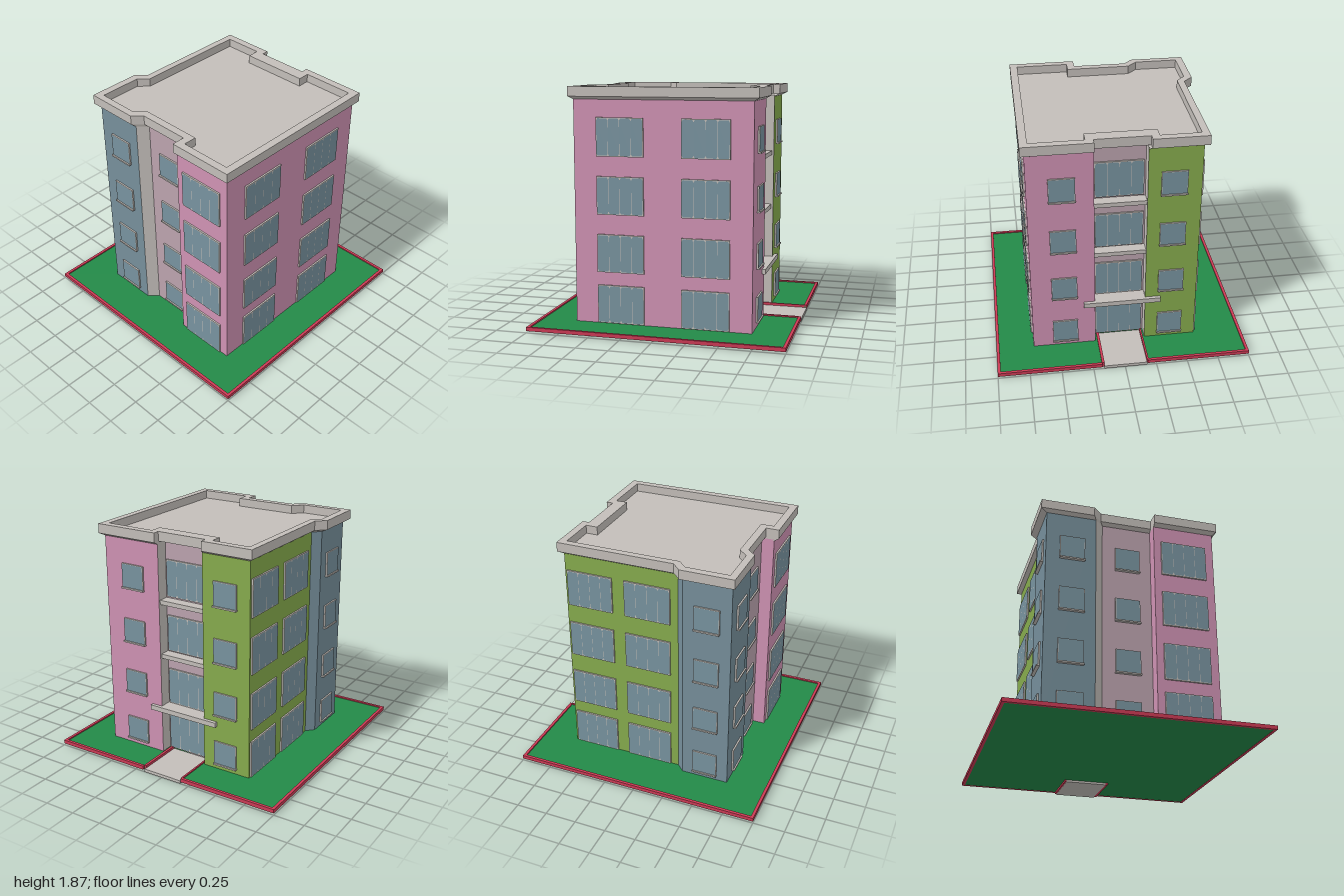
import * as THREE from 'three';

const mat = (name, color, side = THREE.FrontSide) => {
  const m = new THREE.MeshStandardMaterial({ color, side });
  m.name = name;
  return m;
};

export function createModel() {
  const model = new THREE.Group();
  model.name = 'apartmentBlock';
  const stone = mat('stone grey', 0xc3beb9);
  const pink = mat('pink render', 0xcf92b3);
  const mauve = mat('mauve render', 0xbba3ae);
  const blue = mat('blue grey render', 0x768f9b);
  const lime = mat('lime render', 0x86ab4d);
  const glass = mat('window glass', 0x78939f);
  const grass = mat('lawn green', 0x238a48);
  const red = mat('kerb red', 0xcc3a55);

  const add = (parent, name, geometry, material) => {
    const mesh = new THREE.Mesh(geometry, material);
    mesh.name = name;
    parent.add(mesh);
    return mesh;
  };
  // Box given by its lower and upper corners
  const block = (parent, name, material, [x0, y0, z0], [x1, y1, z1]) =>
    add(parent, name, new THREE.BoxGeometry(x1 - x0, y1 - y0, z1 - z0), material)
      .position.set((x0 + x1) / 2, (y0 + y1) / 2, (z0 + z1) / 2);
  // Strip of flat quads joining outlines at given heights
  const bands = (levels, closed) => {
    const pos = [];
    for (let l = 0; l < levels.length - 1; l++) {
      const [lo, y0] = levels[l], [hi, y1] = levels[l + 1];
      for (let i = 0; i < lo.length - (closed ? 0 : 1); i++) {
        const j = (i + 1) % lo.length;
        const a = [lo[i][0], y0, lo[i][1]], b = [lo[j][0], y0, lo[j][1]];
        const c = [hi[i][0], y1, hi[i][1]], d = [hi[j][0], y1, hi[j][1]];
        pos.push(...b, ...a, ...c, ...b, ...c, ...d);
      }
    }
    const g = new THREE.BufferGeometry();
    g.setAttribute('position', new THREE.Float32BufferAttribute(pos, 3));
    g.computeVertexNormals();
    return g;
  };
  // Plan outline (x, z) as a shape lying flat once rotated
  const plan = (pts) => new THREE.Shape(pts.map(([x, z]) => new THREE.Vector2(x, -z)));

  // Plan outlines, starting at the back corner of the lime wing
  const wall = [[-0.61, -0.7], [-0.2, -0.7], [-0.2, -0.6], [0.2, -0.6], [0.2, -0.7], [0.7, -0.7], [0.7, 0.7],
    [0.2, 0.7], [0.2, 0.6], [-0.2, 0.6], [-0.27, 0.67], [-0.67, 0.67], [-0.67, 0.29], [-0.61, 0.23]];
  const eave = [[-0.645, -0.74], [-0.22, -0.74], [-0.22, -0.685], [0.2, -0.685], [0.2, -0.74], [0.73, -0.74], [0.73, 0.735],
    [0.2, 0.735], [0.2, 0.63], [-0.22, 0.63], [-0.29, 0.7], [-0.72, 0.7], [-0.72, 0.28], [-0.645, 0.21]];
  const inner = [[-0.59, -0.68], [-0.28, -0.68], [-0.28, -0.585], [0.26, -0.585], [0.26, -0.68], [0.67, -0.68], [0.67, 0.675],
    [0.26, 0.675], [0.26, 0.57], [-0.245, 0.57], [-0.32, 0.645], [-0.66, 0.645], [-0.66, 0.305], [-0.59, 0.235]];

  // Walls, one face per outline segment
  const paint = [lime, stone, mauve, stone, pink, pink, pink, pink, mauve, stone, blue, blue, blue, lime];
  paint.forEach((material, i) => {
    const seg = [wall[i], wall[(i + 1) % wall.length]];
    add(model, 'wall', bands([[seg, 0.02], [seg, 1.785]], false), material);
  });

  // Roof: sloped soffit, fascia, parapet top and inner face, then the deck
  add(model, 'parapet', bands([[wall, 1.775], [eave, 1.797], [eave, 1.872], [inner, 1.872], [inner, 1.805]], true), stone);
  const deck = add(model, 'roofDeck', new THREE.ShapeGeometry(plan(inner)).rotateX(-Math.PI / 2), stone);
  deck.position.y = 1.805;

  // Large glazed window: frame with four clipped-corner panes
  const chamferPane = (w, h, c) => new THREE.ShapeGeometry(new THREE.Shape([
    [-w / 2 + c, -h / 2], [w / 2 - c, -h / 2], [w / 2, -h / 2 + 2 * c], [w / 2, h / 2 - 2 * c],
    [w / 2 - c, h / 2], [-w / 2 + c, h / 2], [-w / 2, h / 2 - 2 * c], [-w / 2, -h / 2 + 2 * c],
  ].map(([x, y]) => new THREE.Vector2(x, y))));
  const largeWindow = (h) => {
    const g = new THREE.Group();
    g.name = 'largeWindow';
    block(g, 'windowFrame', stone, [-0.187, 0, -0.01], [0.187, h, 0.013]);
    for (let i = 0; i < 4; i++) {
      add(g, 'windowPane', chamferPane(0.089, h - 0.014, 0.008), glass)
        .position.set((i - 1.5) * 0.0915, h / 2, 0.0145);
    }
    return g;
  };
  // Small window with a projecting sill
  const smallWindow = (h) => {
    const g = new THREE.Group();
    g.name = 'smallWindow';
    block(g, 'windowFrame', stone, [-0.1, 0, -0.01], [0.1, h, 0.013]);
    add(g, 'windowPane', new THREE.PlaneGeometry(0.19, h - 0.01), glass).position.set(0, h / 2, 0.0145);
    block(g, 'windowSill', stone, [-0.102, -0.006, -0.01], [0.102, 0.006, 0.026]);
    return g;
  };

  // Window columns: builder, x, z, facing angle
  const H = Math.PI / 2;
  const columns = [
    [smallWindow, -0.46, 0.67, 0], [smallWindow, 0.005, 0.6, 0], [largeWindow, 0.445, 0.7, 0],
    [largeWindow, 0.7, 0.33, H], [largeWindow, 0.7, -0.34, H],
    [smallWindow, 0.44, -0.7, 2 * H], [largeWindow, 0, -0.6, 2 * H], [smallWindow, -0.4, -0.7, 2 * H],
    [largeWindow, -0.61, -0.495, -H], [largeWindow, -0.61, -0.02, -H], [smallWindow, -0.67, 0.48, -H],
  ];
  const largeRows = [[0.04, 0.34], [0.443, 0.74], [0.895, 1.19], [1.343, 1.64]];
  const smallRows = [[0.08, 0.275], [0.5, 0.692], [0.935, 1.13], [1.384, 1.58]];
  for (const [build, x, z, turn] of columns) {
    for (const [y0, y1] of build === largeWindow ? largeRows : smallRows) {
      const w = build(y1 - y0);
      w.position.set(x, y0, z);
      w.rotation.y = turn;
      model.add(w);
    }
  }

  // Entrance canopy and the ledges above it in the back recess
  block(model, 'entranceCanopy', stone, [-0.32, 0.4, -0.728], [0.29, 0.44, -0.59]);
  for (const y of [0.85, 1.295]) block(model, 'recessLedge', stone, [-0.2, y, -0.685], [0.2, y + 0.035, -0.59]);

  // Lawn with a slot for the entrance path
  const lawnShape = plan([[-0.99, -0.99], [-0.18, -0.99], [-0.18, -0.6], [0.18, -0.6], [0.18, -0.99],
    [0.99, -0.99], [0.99, 0.99], [-0.99, 0.99]]);
  const lawn = add(model, 'lawn', new THREE.ExtrudeGeometry(lawnShape, { depth: 0.018, bevelEnabled: false }).rotateX(-H), grass);
  lawn.position.y = 0.017;
  block(model, 'entrancePath', stone, [-0.175, 0, -1], [0.165, 0.025, -0.6]);

  // Kerbs around the plot and along the path
  block(model, 'frontKerb', red, [-1, 0.015, 0.977], [1, 0.045, 1]);
  for (const s of [-1, 1]) {
    block(model, 'sideKerb', red, [s < 0 ? -1 : 0.977, 0.015, -1], [s < 0 ? -0.977 : 1, 0.045, 0.977]);
    block(model, 'backKerb', red, [s < 0 ? -0.977 : 0.18, 0.015, -1], [s < 0 ? -0.18 : 0.977, 0.045, -0.977]);
    block(model, 'pathKerb', red, [s < 0 ? -0.188 : 0.163, 0.001, -0.98], [s < 0 ? -0.174 : 0.184, 0.045, -0.6]);
  }
  return model;
}
